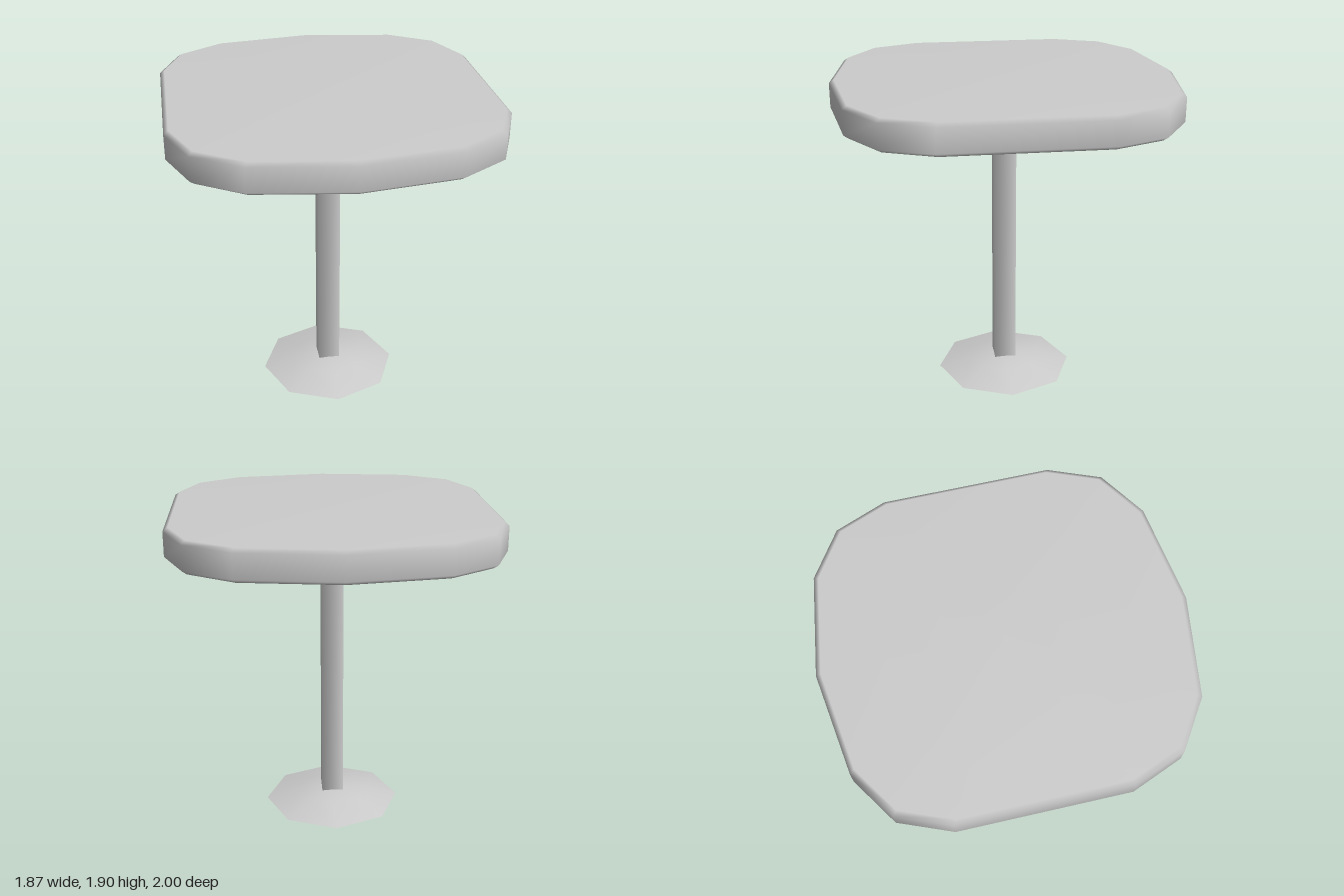
import * as THREE from 'three';

// Closed smooth solid from an outline repeated at several heights and scales
function loft(outline, levels) {
  const n = outline.length, pos = [], idx = [];
  for (const [y, s] of levels) for (const [x, z] of outline) pos.push(x * s, y, z * s);
  for (let r = 0; r < levels.length - 1; r++) {
    for (let i = 0; i < n; i++) {
      const j = (i + 1) % n, a = r * n + i, b = r * n + j;
      idx.push(a, a + n, b, b, a + n, b + n);
    }
  }
  // end caps as fans around a centre point
  const low = pos.length / 3, high = low + 1, last = (levels.length - 1) * n;
  pos.push(0, levels[0][0], 0, 0, levels[levels.length - 1][0], 0);
  for (let i = 0; i < n; i++) {
    const j = (i + 1) % n;
    idx.push(low, i, j, high, last + j, last + i);
  }
  const g = new THREE.BufferGeometry();
  g.setAttribute('position', new THREE.Float32BufferAttribute(pos, 3));
  g.setIndex(idx);
  g.computeVertexNormals();
  return g;
}

export function createModel() {
  const group = new THREE.Group();
  const grey = new THREE.MeshStandardMaterial({ color: 0xcccccc, side: THREE.DoubleSide });
  grey.name = 'light grey';
  const add = (name, geometry) => {
    const mesh = new THREE.Mesh(geometry, grey);
    mesh.name = name;
    group.add(mesh);
    return mesh;
  };

  // Tabletop: half outline from the front point round the +x side, then turned half way
  const half = [[0, 1], [0.56, 0.92], [0.82, 0.75], [0.935, 0.465],
    [0.935, -0.465], [0.82, -0.75], [0.56, -0.92]];
  // counter-clockwise seen from below, so the sides face outward
  const outline = [...half, ...half.map(([x, z]) => [-x, -z])].reverse();
  add('tabletop', loft(outline, [[1.72, 0.972], [1.742, 1], [1.88, 1], [1.9, 0.972]]));

  // Square post with soft shading
  const post = new THREE.CylinderGeometry(0.092, 0.092, 1.66, 4, 1, true);
  post.rotateY(Math.PI / 4);
  post.translate(0, 0.9, 0);
  add('post', post);

  // Eight-sided hollow foot
  const profile = [[0.415, 0], [0.21, 0.055], [0.07, 0.075], [0, 0.075]];
  add('foot', new THREE.LatheGeometry(profile.map(([r, y]) => new THREE.Vector2(r, y)), 8));

  return group;
}
